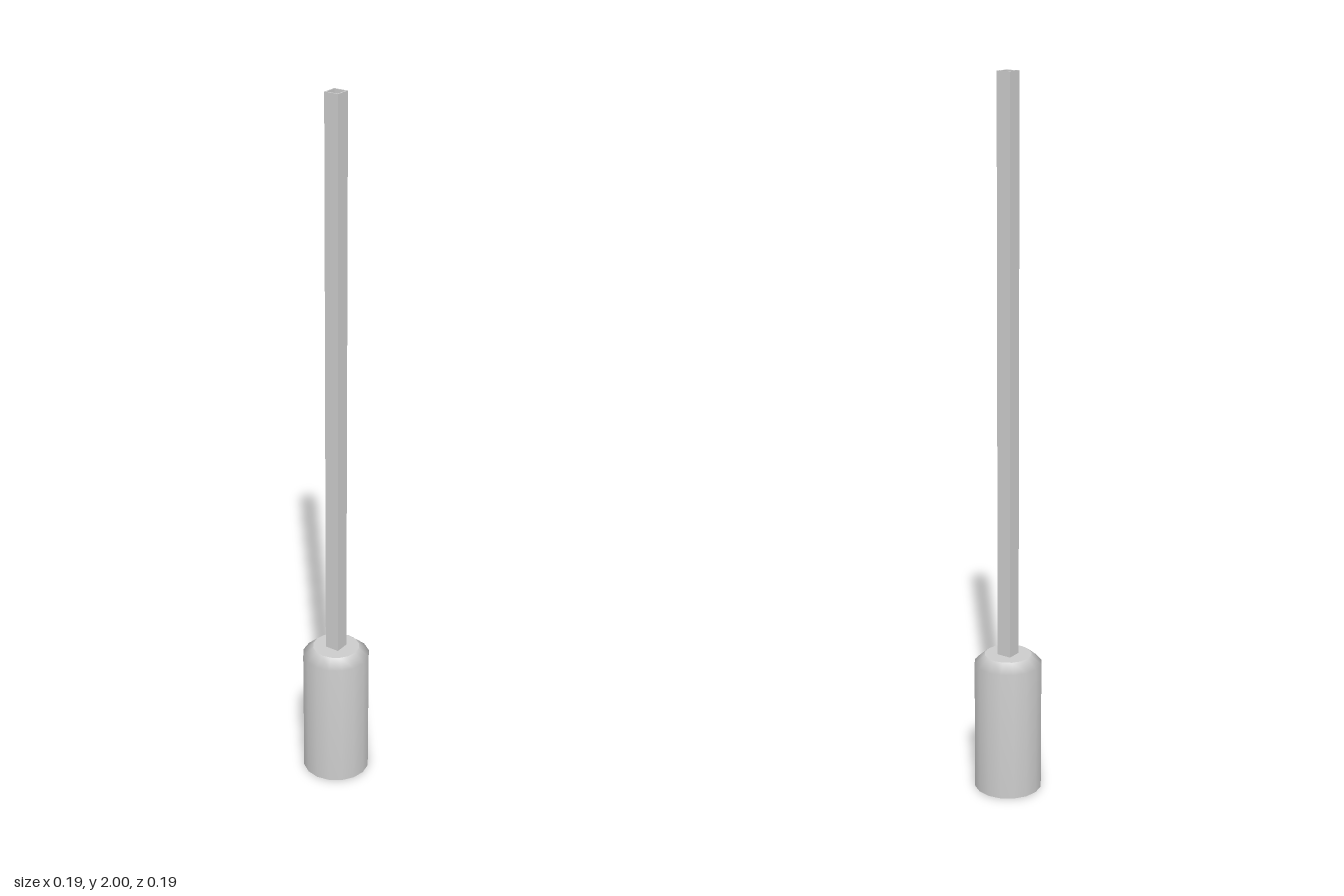
import * as THREE from 'three';

const SIDES = 16;
const RADIUS = 0.095, TOP_RADIUS = 0.066, HANDLE_TOP = 0.4;
const OUTER = 0.021, INNER = 0.017, HEIGHT = 2;

export function createModel() {
  const model = new THREE.Group();
  const material = new THREE.MeshStandardMaterial({ color: 0xcccccc });
  const add = (name, geometry, parent) => {
    const mesh = new THREE.Mesh(geometry, material);
    mesh.name = name;
    parent.add(mesh);
    return mesh;
  };

  // Handle: smooth wall with a bevelled shoulder, closed by flat discs
  const handle = new THREE.Group();
  handle.name = 'handle';
  model.add(handle);
  const profile = [[RADIUS, 0], [RADIUS, 0.375], [TOP_RADIUS, HANDLE_TOP]]
    .map(([r, y]) => new THREE.Vector2(r, y));
  add('handleWall', new THREE.LatheGeometry(profile, SIDES), handle);
  const top = add('handleTop', new THREE.CircleGeometry(TOP_RADIUS, SIDES), handle);
  top.rotation.x = -Math.PI / 2;
  top.position.y = HANDLE_TOP;
  const base = add('handleBase', new THREE.CircleGeometry(RADIUS, SIDES), handle);
  base.rotation.x = Math.PI / 2;

  // Shaft: hollow square tube standing on the handle
  const square = (Type, s) => new Type([[-s, -s], [s, -s], [s, s], [-s, s]]
    .map(([x, y]) => new THREE.Vector2(x, y)));
  const section = square(THREE.Shape, OUTER);
  section.holes.push(square(THREE.Path, INNER));
  const tube = new THREE.ExtrudeGeometry(section, { depth: HEIGHT - HANDLE_TOP, bevelEnabled: false });
  tube.rotateX(-Math.PI / 2);
  add('shaft', tube, model).position.y = HANDLE_TOP;

  return model;
}
